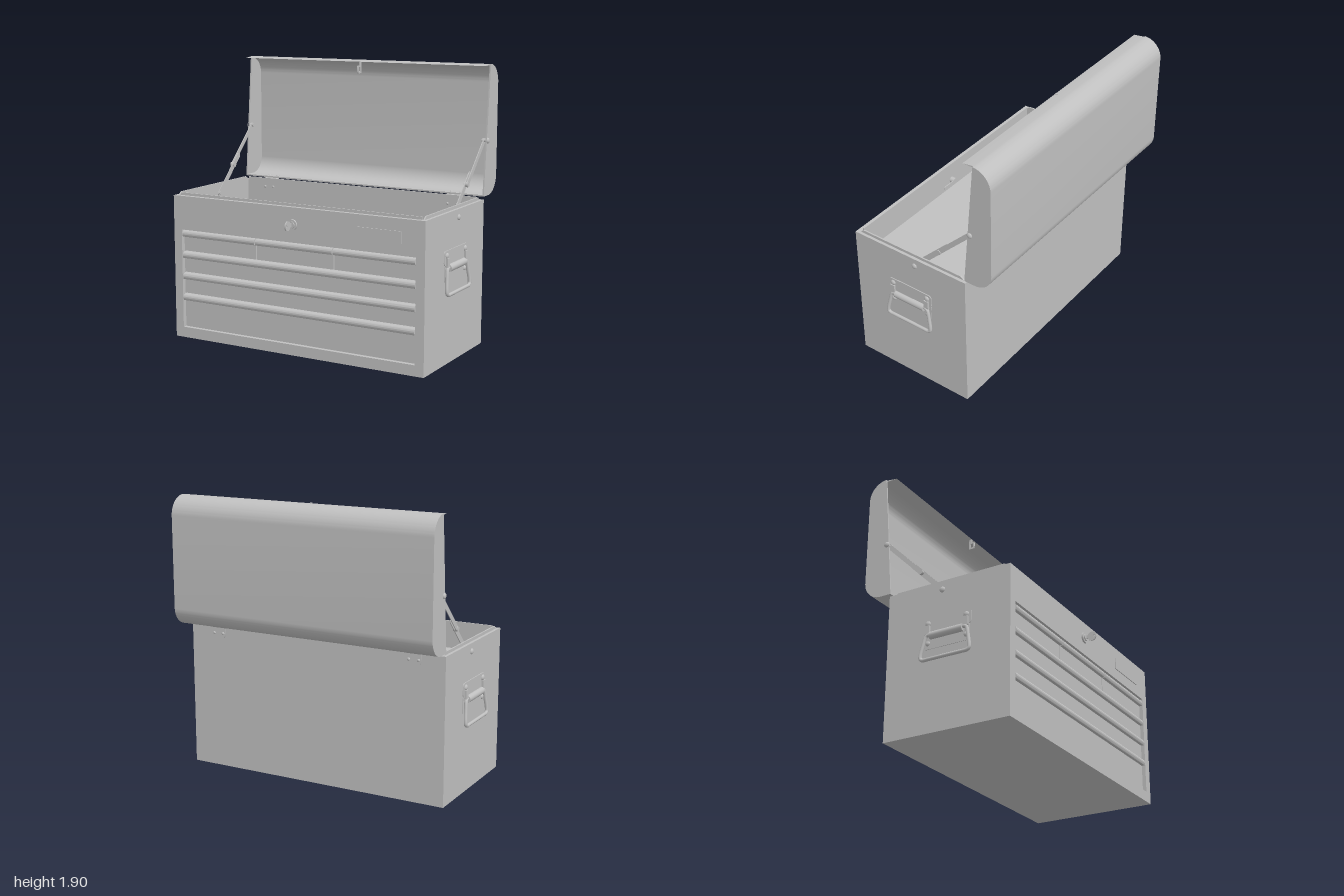
import * as THREE from 'three';
import { toCreasedNormals } from 'three/addons/utils/BufferGeometryUtils.js';

const steel = new THREE.MeshStandardMaterial({ color: 0xc0c0c0 });
steel.name = 'grey steel';

function add(parent, name, geometry) {
  const mesh = new THREE.Mesh(geometry, steel);
  mesh.name = name;
  parent.add(mesh);
  return mesh;
}

// Box given by its limits on each axis
function box(parent, name, x0, x1, y0, y1, z0, z1) {
  const g = new THREE.BoxGeometry(x1 - x0, y1 - y0, z1 - z0);
  g.translate((x0 + x1) / 2, (y0 + y1) / 2, (z0 + z1) / 2);
  return add(parent, name, g);
}

const extrude = (shape, depth) => toCreasedNormals(
  new THREE.ExtrudeGeometry(shape, { depth, bevelEnabled: false, curveSegments: 12 }), 0.6);

// Extrudes a (z, y) profile from x0 to x1
const extrudeX = (shape, x0, x1) =>
  extrude(shape, x1 - x0).rotateY(-Math.PI / 2).translate(x1, 0, 0);

// Cylinder with its axis on x or z, centred on a point
function rod(parent, name, axis, r, length, x, y, z) {
  const g = new THREE.CylinderGeometry(r, r, length, 20);
  if (axis === 'x') g.rotateZ(Math.PI / 2);
  if (axis === 'z') g.rotateX(Math.PI / 2);
  return add(parent, name, g.translate(x, y, z));
}

// Domed rivet head facing along x or z in the given direction
function rivet(parent, axis, dir, r, x, y, z) {
  const g = new THREE.SphereGeometry(r, 14, 6, 0, Math.PI * 2, 0, Math.PI / 2).scale(1, 0.6, 1);
  if (axis === 'x') g.rotateZ(-dir * Math.PI / 2);
  if (axis === 'z') g.rotateX(dir * Math.PI / 2);
  if (axis === 'y' && dir < 0) g.rotateX(Math.PI);
  return add(parent, 'rivet', g.translate(x, y, z));
}

function rectangle(x0, x1, y0, y1) {
  return [[x0, y0], [x1, y0], [x1, y1], [x0, y1]].map(p => new THREE.Vector2(...p));
}

function roundedRect(x0, x1, y0, y1, r) {
  const s = new THREE.Shape();
  s.absarc(x1 - r, y1 - r, r, 0, Math.PI / 2);
  s.absarc(x0 + r, y1 - r, r, Math.PI / 2, Math.PI);
  s.absarc(x0 + r, y0 + r, r, Math.PI, Math.PI * 1.5);
  s.absarc(x1 - r, y0 + r, r, Math.PI * 1.5, Math.PI * 2);
  return s;
}

// D-shaped lid outline, back corners rounded
function lidProfile(inner) {
  const t = 0.01, r = 0.13, z = -0.465, top = 1.775, low = 1.15;
  const s = new THREE.Shape();
  s.moveTo(-0.387, 1.905);
  s.absarc(z, top, r, Math.PI / 2, Math.PI);
  s.absarc(z, low, r, Math.PI, Math.PI * 1.5);
  s.lineTo(-0.387, 1.02);
  if (inner) {
    s.lineTo(-0.387, 1.02 + t);
    s.absarc(z, low, r - t, Math.PI * 1.5, Math.PI, true);
    s.absarc(z, top, r - t, Math.PI, Math.PI / 2, true);
    s.lineTo(-0.387, 1.905 - t);
  }
  return s;
}

function buildBody() {
  const g = new THREE.Group();
  g.name = 'body';
  const front = new THREE.Shape(rectangle(-0.96, 0.96, 0, 1));
  front.holes.push(new THREE.Path(rectangle(-0.897, 0.897, 0.073, 0.765)));
  add(g, 'frontFrame', extrude(front, 0.03).translate(0, 0, 0.478));
  box(g, 'bottom', -0.94, 0.94, 0, 0.02, -0.37, 0.478);
  box(g, 'backWall', -0.96, 0.96, 0, 1, -0.39, -0.37);
  box(g, 'trayFloor', -0.94, 0.94, 0.81, 0.825, -0.37, 0.478);
  box(g, 'drawerBacking', -0.94, 0.94, 0.02, 0.81, 0.455, 0.465);
  box(g, 'frontLip', -0.92, 0.92, 0.825, 1.018, 0.468, 0.477);
  box(g, 'backLip', -0.92, 0.92, 0.825, 1.018, -0.37, -0.361);
  // Side walls with mitred raised lips
  const lip = new THREE.Shape([[0.477, 0.825], [0.477, 1], [0.455, 1.02], [-0.34, 1.02], [-0.369, 1],
    [-0.369, 0.825]].map(p => new THREE.Vector2(...p)));
  for (const s of [-1, 1]) {
    box(g, 'sideWall', s < 0 ? -0.96 : 0.94, s < 0 ? -0.94 : 0.96, 0, 1, -0.37, 0.478);
    add(g, 'sideLip', extrudeX(lip, s * 0.935 - 0.005, s * 0.935 + 0.005));
  }
  // Label plate
  box(g, 'labelPlate', 0.465, 0.8, 0.84, 0.92, 0.508, 0.514);
  return g;
}

function buildDrawer(x0, x1, y0, y1) {
  const g = new THREE.Group();
  g.name = 'drawer';
  box(g, 'drawerFront', x0, x1, y0, y1, 0.465, 0.484);
  const pull = new THREE.Shape();
  pull.moveTo(0.484, y1 - 0.045);
  pull.lineTo(0.504, y1 - 0.045);
  pull.quadraticCurveTo(0.514, y1 - 0.028, 0.507, y1 - 0.014);
  pull.quadraticCurveTo(0.499, y1 - 0.001, 0.484, y1);
  add(g, 'drawerPull', extrudeX(pull, x0, x1));
  return g;
}

function buildLid() {
  const g = new THREE.Group();
  g.name = 'lid';
  add(g, 'lidShell', extrudeX(lidProfile(true), -0.95, 0.95));
  add(g, 'lidEnd', extrudeX(lidProfile(false), 0.95, 0.96));
  add(g, 'lidEnd', extrudeX(lidProfile(false), -0.96, -0.95));
  // Catch at the front edge
  const catchShape = roundedRect(-0.41, -0.368, 1.815, 1.87, 0.006);
  catchShape.holes.push(new THREE.Path(rectangle(-0.4, -0.378, 1.828, 1.858)));
  add(g, 'lidCatch', extrudeX(catchShape, -0.005, 0.005));
  box(g, 'catchFoot', -0.005, 0.005, 1.865, 1.9, -0.41, -0.39);
  return g;
}

function buildLock() {
  const g = new THREE.Group();
  g.name = 'lock';
  rod(g, 'lockFace', 'z', 0.037, 0.012, 0, 0.885, 0.514);
  rod(g, 'lockCore', 'z', 0.024, 0.01, 0, 0.885, 0.523);
  rod(g, 'lockBarrel', 'z', 0.022, 0.07, 0, 0.885, 0.47);
  box(g, 'lockCam', -0.02, 0.12, 0.875, 0.895, 0.436, 0.442);
  // Key: round bow with a hole, on a flat shaft
  const bow = new THREE.Shape().absarc(0.568, 0.885, 0.032, 0, Math.PI * 2);
  bow.holes.push(new THREE.Path().absarc(0.584, 0.885, 0.007, 0, Math.PI * 2));
  add(g, 'keyBow', extrudeX(bow, -0.004, 0.004));
  box(g, 'keyShaft', -0.004, 0.004, 0.875, 0.895, 0.525, 0.545);
  return g;
}

// Folding carry handle on the side at s = +1 or -1
function buildHandle(s) {
  const g = new THREE.Group();
  g.name = 'sideHandle';
  const c = 0.06;
  const plate = roundedRect(c - 0.175, c + 0.175, 0.66, 0.757, 0.02);
  add(g, 'handlePlate', extrudeX(plate, s * 0.963 - 0.003, s * 0.963 + 0.003));
  const lower = roundedRect(c - 0.172, c + 0.16, 0.552, 0.67, 0.012);
  add(g, 'lowerPlate', extrudeX(lower, s * 0.962 - 0.002, s * 0.962 + 0.002));
  rod(g, 'handleRoll', 'x', 0.025, 0.24, 0, 0, 0).geometry.rotateY(Math.PI / 2)
    .translate(s * 0.968, 0.64, c);
  for (const d of [-1, 1]) {
    const z = c + d * 0.14;
    rivet(g, 'x', s, 0.02, s * 0.966, 0.725, z);
    rivet(g, 'x', s, 0.017, s * 0.964, 0.592, z);
    box(g, 'handleClip', s * 0.972 - 0.008, s * 0.972 + 0.008, 0.65, 0.71, z - 0.017, z + 0.017);
  }
  const half = [[0, 0.645, 0.972], [0.13, 0.645, 0.972], [0.147, 0.638, 0.974], [0.154, 0.622, 0.976],
    [0.165, 0.57, 0.98], [0.177, 0.505, 0.986], [0.175, 0.485, 0.987], [0.16, 0.474, 0.988],
    [0.12, 0.473, 0.988], [0, 0.473, 0.988]];
  const mirrored = half.slice(1, -1).reverse().map(([z, y, x]) => [-z, y, x]);
  const points = [...half, ...mirrored].map(([z, y, x]) => new THREE.Vector3(s * x, y, c + z));
  const loop = new THREE.CatmullRomCurve3(points, true);
  add(g, 'handleLoop', new THREE.TubeGeometry(loop, 120, 0.012, 10, true));
  return g;
}

// Folding lid stay made of two overlapping bars
function buildStay(s) {
  const g = new THREE.Group();
  g.name = 'lidStay';
  const bar = (name, z0, y0, z1, y1, x, w) => {
    const len = Math.hypot(z1 - z0, y1 - y0);
    const shape = roundedRect(-len / 2 - w / 2, len / 2 + w / 2, -w / 2, w / 2, w / 2 - 0.001);
    const geo = extrudeX(shape, -0.003, 0.003).rotateX(-Math.atan2(y1 - y0, z1 - z0));
    add(g, name, geo.translate(s * x, (y0 + y1) / 2, (z0 + z1) / 2));
  };
  bar('upperBar', -0.435, 1.395, -0.17, 1.13, 0.935, 0.032);
  bar('lowerBar', -0.23, 1.19, 0.015, 0.945, 0.922, 0.036);
  rod(g, 'pivot', 'x', 0.017, 0.03, s * 0.928, 1.13, -0.17);
  rod(g, 'pivot', 'x', 0.012, 0.04, s * 0.94, 1.395, -0.435);
  rod(g, 'pivot', 'x', 0.012, 0.03, s * 0.928, 0.945, 0.015);
  rivet(g, 'x', s, 0.02, s * 0.96, 1.395, -0.435);
  rivet(g, 'x', s, 0.02, s * 0.96, 0.945, 0.015);
  return g;
}

function buildHinge(x) {
  const g = new THREE.Group();
  g.name = 'hinge';
  // Tongue-shaped leaf hanging from its barrel
  const leaf = length => {
    const s = new THREE.Shape();
    s.moveTo(-0.055, 0);
    s.lineTo(-0.055, -length * 0.45);
    s.bezierCurveTo(-0.05, -length * 1.18, 0.05, -length * 1.18, 0.055, -length * 0.45);
    s.lineTo(0.055, 0);
    return extrude(s, 0.006);
  };
  add(g, 'bodyLeaf', leaf(0.1).translate(x, 1.005, -0.397));
  add(g, 'lidLeaf', leaf(0.065).rotateX(Math.PI / 2).translate(x, 1.02, -0.397));
  rod(g, 'hingeBarrel', 'x', 0.011, 0.11, x, 1.006, -0.398);
  for (const d of [-0.035, 0.035]) {
    rivet(g, 'z', -1, 0.011, x + d, 0.955, -0.397);
    rivet(g, 'z', 1, 0.01, x + d, 0.955, -0.361);
    rivet(g, 'y', 1, 0.011, x + d, 1.03, -0.425);
    rivet(g, 'y', -1, 0.011, x + d, 1.014, -0.425);
  }
  return g;
}

export function createModel() {
  const model = new THREE.Group();
  model.name = 'toolChest';
  model.add(buildBody(), buildLid(), buildLock());
  // Three small drawers over three full-width drawers
  for (const x of [-0.597, 0, 0.597]) model.add(buildDrawer(x - 0.295, x + 0.295, 0.614, 0.76));
  for (const [y0, y1] of [[0.464, 0.61], [0.314, 0.46], [0.078, 0.31]]) {
    model.add(buildDrawer(-0.892, 0.892, y0, y1));
  }
  for (const s of [-1, 1]) model.add(buildHandle(s), buildStay(s), buildHinge(s * 0.74));
  return model;
}
